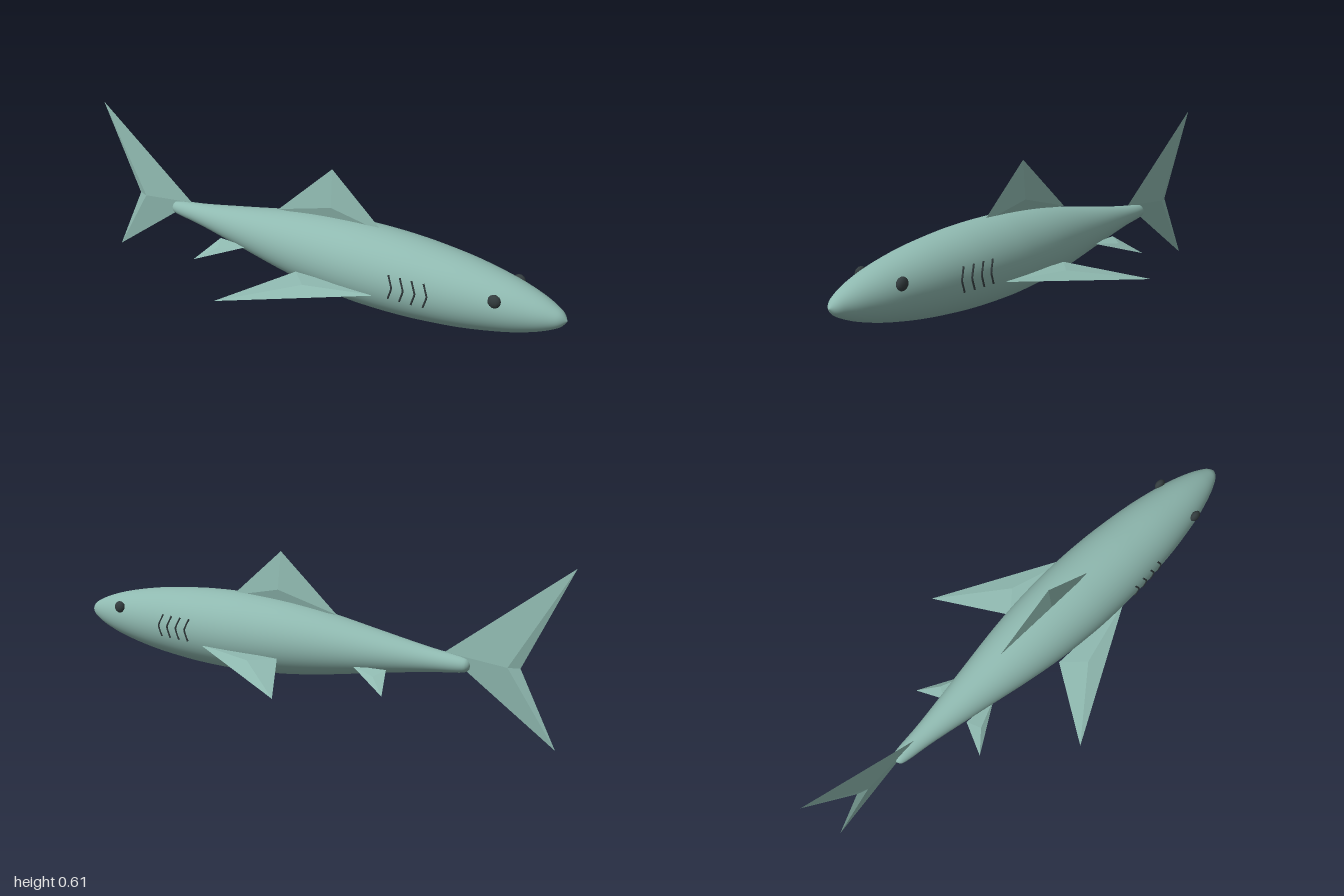
import * as THREE from 'three';

const skin = new THREE.MeshStandardMaterial({ color: 0x8fb9b0 });
skin.name = 'grey green skin';
const dark = new THREE.MeshStandardMaterial({ color: 0x333c3e });
dark.name = 'dark eye and gill';

const AXIS_Y = 0.24;
const V = (x, y, z) => new THREE.Vector3(x, y, z);

// Body radius along x, tail to nose
const PROFILE = [
  [-0.655, 0], [-0.648, 0.017], [-0.62, 0.028], [-0.5, 0.043], [-0.3, 0.077], [-0.1, 0.112],
  [0.05, 0.132], [0.2, 0.143], [0.3, 0.145], [0.4, 0.143], [0.5, 0.137], [0.65, 0.121],
  [0.8, 0.093], [0.9, 0.064], [0.96, 0.038], [0.985, 0.021], [1, 0],
];

function radiusAt(x) {
  const i = Math.max(1, PROFILE.findIndex((p) => p[0] >= x));
  const [x0, r0] = PROFILE[i - 1];
  const [x1, r1] = PROFILE[i];
  return r0 + ((r1 - r0) * (x - x0)) / (x1 - x0);
}

// Faceted fin: thin-edged outline with a ridge point raised on both faces
function finGeometry(outline, centre, halfThick) {
  const normal = V(0, 0, 0);
  const n = outline.length;
  outline.forEach((p, i) => normal.add(p.clone().cross(outline[(i + 1) % n])));
  normal.normalize().multiplyScalar(halfThick);
  const up = centre.clone().add(normal);
  const down = centre.clone().sub(normal);
  const points = [];
  outline.forEach((p, i) => {
    const q = outline[(i + 1) % n];
    points.push(up, p, q, down, q, p);
  });
  const geometry = new THREE.BufferGeometry().setFromPoints(points);
  geometry.computeVertexNormals();
  return geometry;
}

export function createModel() {
  const group = new THREE.Group();
  const add = (name, geometry, material) => {
    const mesh = new THREE.Mesh(geometry, material);
    mesh.name = name;
    group.add(mesh);
    return mesh;
  };

  // Streamlined body
  const curve = new THREE.SplineCurve(PROFILE.map(([x, r]) => new THREE.Vector2(r, x)));
  const rings = curve.getPoints(64).map((p) => p.set(Math.max(0, p.x), p.y));
  const body = new THREE.LatheGeometry(rings, 48);
  body.rotateZ(-Math.PI / 2).translate(0, AXIS_Y, 0);
  add('body', body, skin);

  // Fins on the centre line
  add('tailFin', finGeometry(
    [V(-1, 0.605, 0), V(-0.83, 0.257, 0), V(-0.96, 0, 0), V(-0.56, 0.275, 0)],
    V(-0.79, 0.257, 0), 0.013), skin);
  add('dorsalFin', finGeometry(
    [V(0.095, 0.557, 0), V(-0.14, 0.35, 0), V(0.31, 0.37, 0)],
    V(0.1, 0.417, 0), 0.014), skin);

  for (const s of [1, -1]) {
    const side = s > 0 ? 'right' : 'left';

    // Paired fins
    add(side + 'PectoralFin', finGeometry(
      [V(-0.126, 0.145, s * 0.4), V(0.37, 0.2, s * 0.13), V(0.03, 0.195, s * 0.13)],
      V(0.11, 0.18, s * 0.2), 0.015), skin);
    add(side + 'PelvicFin', finGeometry(
      [V(-0.413, 0.139, s * 0.172), V(-0.24, 0.195, s * 0.065), V(-0.37, 0.197, s * 0.06)],
      V(-0.345, 0.174, s * 0.105), 0.009), skin);

    // Flattened eye
    const eye = add(side + 'Eye', new THREE.SphereGeometry(1, 12, 8), dark);
    eye.scale.set(0.023, 0.023, 0.015);
    eye.position.set(0.785, 0.285, s * 0.092);

    // Bent gill slits lying on the skin
    for (let i = 0; i < 4; i++) {
      const points = [[0, 0.292], [0.018, 0.25], [0.004, 0.208]].map(([dx, y]) => {
        const x = 0.415 + i * 0.043 + dx;
        return V(x, y, s * (Math.sqrt(radiusAt(x) ** 2 - (y - AXIS_Y) ** 2) + 0.002));
      });
      const path = new THREE.CatmullRomCurve3(points, false, 'catmullrom', 0.15);
      add(side + 'Gill' + (i + 1), new THREE.TubeGeometry(path, 10, 0.0035, 5), dark);
    }
  }
  return group;
}
